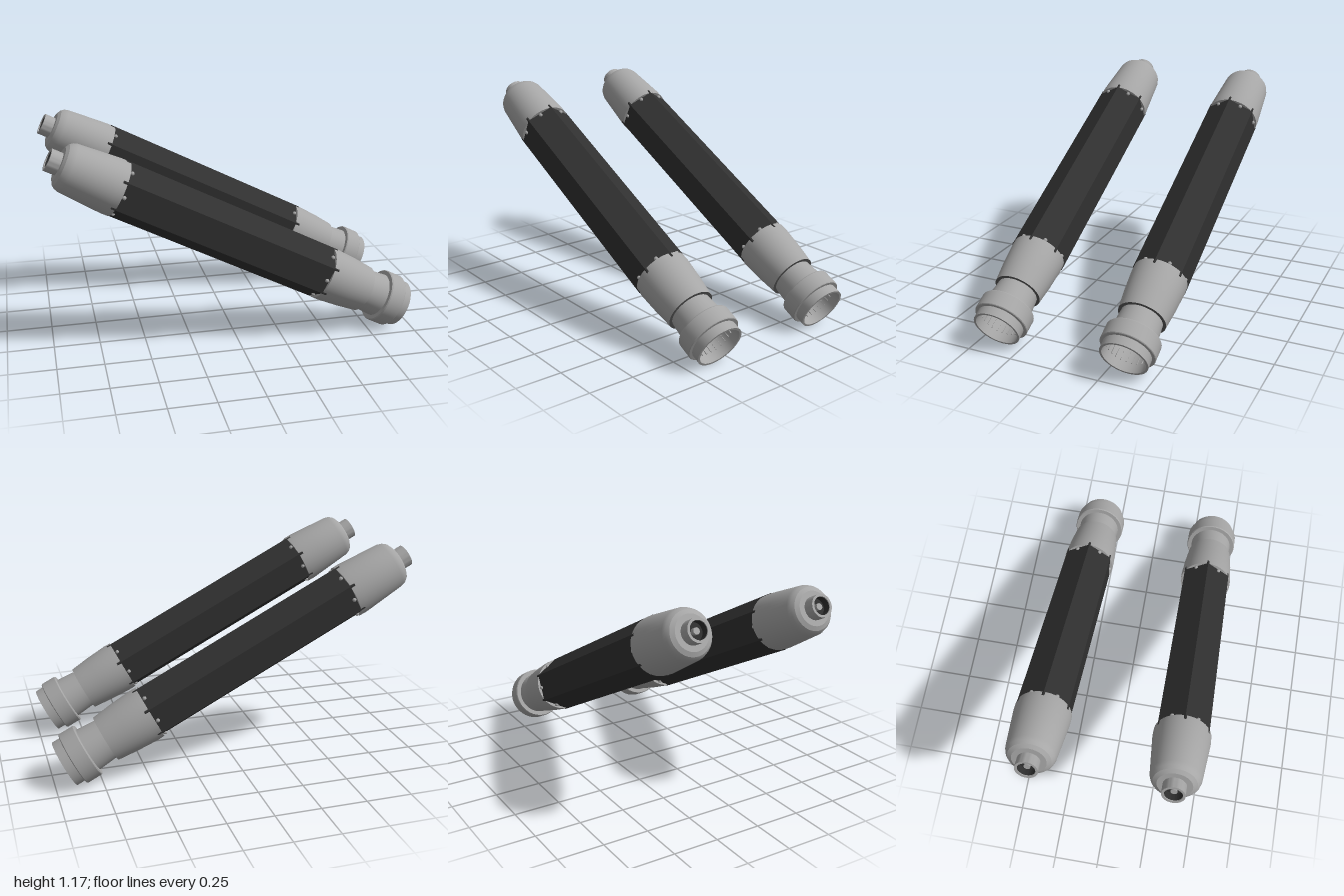
import * as THREE from 'three';
import { toCreasedNormals } from 'three/addons/utils/BufferGeometryUtils.js';

const TILT = THREE.MathUtils.degToRad(27.2);

const paint = (name, color) => {
  const m = new THREE.MeshStandardMaterial({ color, side: THREE.DoubleSide });
  m.name = name;
  return m;
};

// Turned part around the local y axis; points are [radius, height], going up on the outside
function turned(name, points, material) {
  const lathe = new THREE.LatheGeometry(points.map(([r, y]) => new THREE.Vector2(r, y)), 48);
  const mesh = new THREE.Mesh(toCreasedNormals(lathe, 0.4), material);
  mesh.name = name;
  return mesh;
}

function createTube(metal, carbon, shadowMetal) {
  const tube = new THREE.Group();

  // Six-sided sleeve, one ridge on top and one below; ridges poke through the end caps
  const sleeve = new THREE.Mesh(
    toCreasedNormals(new THREE.CylinderGeometry(0.153, 0.153, 1.29, 6, 1, false, Math.PI / 6), 0.3),
    carbon);
  sleeve.name = 'hexagonalSleeve';
  tube.add(sleeve);

  // Tapered cap at the upper end, with its small hollow nozzle
  tube.add(turned('upperCap', [
    [0.055, -0.95], [0.09, -0.95], [0.112, -0.938], [0.124, -0.922], [0.131, -0.9],
    [0.143, -0.75], [0.15, -0.66], [0.149, -0.62], [0.125, -0.62],
  ], metal));
  tube.add(turned('nozzle', [
    [0.047, -0.95], [0.047, -1.01], [0.06, -1.01], [0.06, -0.94],
  ], metal));
  tube.add(turned('nozzleBore', [[0, -0.965], [0.046, -0.965], [0.046, -1.005]], carbon));
  tube.add(turned('nozzleCore', [[0, -0.99], [0.017, -0.99], [0.017, -0.96]], metal));

  // Collar narrowing towards the open lower end
  tube.add(turned('lowerCollar', [
    [0.125, 0.62], [0.149, 0.62], [0.15, 0.66], [0.142, 0.78], [0.13, 0.89],
  ], metal));
  tube.add(turned('collarStep', [[0.13, 0.89], [0.113, 0.89]], shadowMetal));

  // Neck, clamp ring and open lip
  tube.add(turned('neck', [[0.113, 0.89], [0.122, 1.0]], metal));
  tube.add(turned('clampRing', [
    [0.12, 0.998], [0.145, 0.998], [0.149, 1.004], [0.149, 1.086], [0.146, 1.09], [0.128, 1.09],
  ], metal));
  tube.add(turned('mouth', [
    [0.13, 1.085], [0.13, 1.14], [0.118, 1.14], [0.107, 0.905], [0.128, 0.64],
  ], metal));

  // Small ribs inside the mouth
  const ribs = new THREE.Group();
  ribs.name = 'mouthRibs';
  const ribShape = new THREE.BoxGeometry(0.005, 0.08, 0.006);
  for (let i = 0; i < 24; i++) {
    const a = (i / 24) * Math.PI * 2;
    const rib = new THREE.Mesh(ribShape, metal);
    rib.position.set(Math.sin(a) * 0.113, 1.05, Math.cos(a) * 0.113);
    rib.rotation.y = a;
    ribs.add(rib);
  }
  tube.add(ribs);

  // One rivet in the middle of each sleeve face, at both ends
  const rivets = new THREE.Group();
  rivets.name = 'rivets';
  const rivetShape = new THREE.SphereGeometry(0.011, 12, 8);
  for (const y of [-0.607, 0.607]) {
    for (let i = 0; i < 6; i++) {
      const a = (i / 6) * Math.PI * 2;
      const rivet = new THREE.Mesh(rivetShape, metal);
      rivet.position.set(Math.sin(a) * 0.134, y, Math.cos(a) * 0.134);
      rivets.add(rivet);
    }
  }
  tube.add(rivets);
  return tube;
}

export function createModel() {
  const model = new THREE.Group();
  model.name = 'twinTubes';
  const metal = paint('brushedMetal', 0xa6a6a6);
  const carbon = paint('darkSleeve', 0x303030);
  const shadowMetal = paint('darkMetal', 0x585858);

  // Two identical tubes side by side, sloping down towards +x
  for (const side of [1, -1]) {
    const tube = createTube(metal, carbon, shadowMetal);
    tube.name = side > 0 ? 'frontTube' : 'backTube';
    tube.position.set(-0.0735, 0.638, side * 0.3625);
    tube.rotation.z = -(Math.PI / 2 + TILT);
    model.add(tube);
  }
  return model;
}
